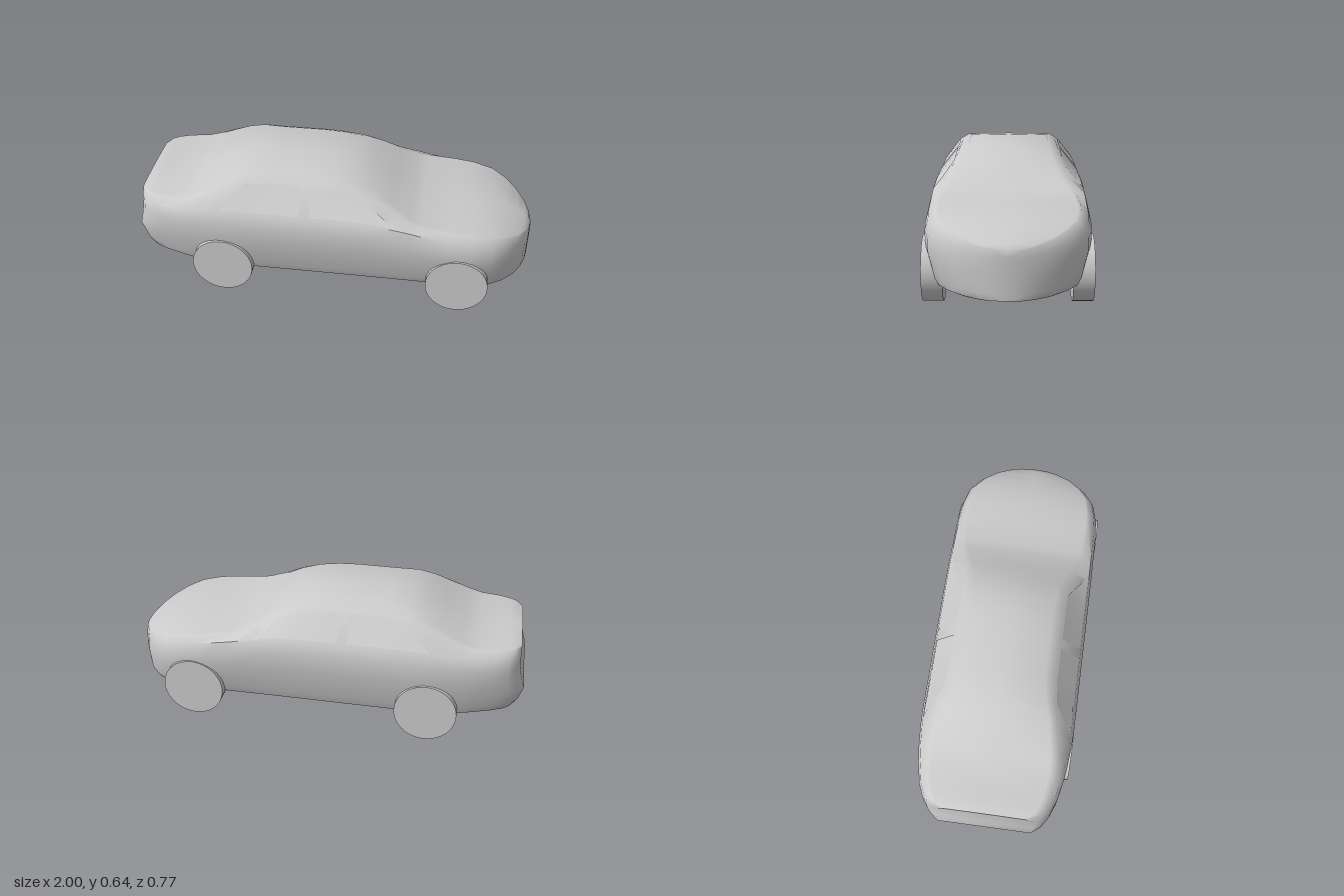
import * as THREE from 'three';
import { toCreasedNormals } from 'three/addons/utils/BufferGeometryUtils.js';

// Body stations: x, half width, roof/hood half width, belt height, top height, bottom height
const STATIONS = [
  [-0.965, 0.24, 0.19, 0.44, 0.485, 0.147],
  [-0.94, 0.285, 0.23, 0.45, 0.49, 0.145],
  [-0.91, 0.31, 0.25, 0.453, 0.492, 0.142],
  [-0.85, 0.335, 0.27, 0.455, 0.493, 0.138],
  [-0.75, 0.357, 0.28, 0.46, 0.495, 0.125],
  [-0.68, 0.367, 0.28, 0.465, 0.517, 0.114],
  [-0.58, 0.376, 0.265, 0.47, 0.565, 0.107],
  [-0.5, 0.38, 0.25, 0.47, 0.602, 0.105],
  [-0.42, 0.38, 0.225, 0.47, 0.631, 0.105],
  [-0.3, 0.38, 0.205, 0.47, 0.64, 0.105],
  [-0.1, 0.38, 0.205, 0.47, 0.641, 0.105],
  [0, 0.38, 0.205, 0.47, 0.636, 0.105],
  [0.1, 0.38, 0.207, 0.47, 0.621, 0.105],
  [0.2, 0.38, 0.217, 0.468, 0.586, 0.105],
  [0.3, 0.38, 0.245, 0.46, 0.528, 0.105],
  [0.4, 0.38, 0.285, 0.443, 0.475, 0.105],
  [0.45, 0.38, 0.3, 0.432, 0.459, 0.105],
  [0.6, 0.379, 0.315, 0.405, 0.443, 0.105],
  [0.7, 0.372, 0.312, 0.39, 0.433, 0.105],
  [0.8, 0.35, 0.295, 0.37, 0.414, 0.105],
  [0.87, 0.3, 0.25, 0.35, 0.392, 0.105],
  [0.93, 0.23, 0.19, 0.325, 0.366, 0.105],
  [0.97, 0.15, 0.12, 0.305, 0.346, 0.105],
  [0.99, 0.085, 0.065, 0.29, 0.332, 0.105],
  [1.0, 0.03, 0.02, 0.27, 0.31, 0.108],
];

// Tail profile: height, offset along x
const TAIL = [[0.14, 0.015], [0.17, 0], [0.25, -0.035], [0.3, -0.022], [0.36, 0], [0.7, 0]];

function sample(table, x) {
  let i = 0;
  while (i < table.length - 2 && x > table[i + 1][0]) i++;
  const [a, b] = [table[i], table[i + 1]];
  const t = THREE.MathUtils.clamp((x - a[0]) / (b[0] - a[0]), 0, 1);
  return a.map((v, k) => v + (b[k] - v) * t);
}

// Half cross-section from the floor centre round to the roof centre
function halfSection([x, w, e, belt, top, low]) {
  const level = (f) => low + (belt - low) * f;
  const pts = [
    [low, 0], [low, 0.78 * w], [level(0.04), 0.87 * w], [level(0.17), 0.92 * w],
    [level(0.4), 0.96 * w], [level(0.6), w], [level(0.83), w], [belt, 0.96 * w],
    [top - 0.18 * (top - belt), e + 0.3 * (0.96 * w - e)], [top - 0.004, e], [top, 0],
  ];
  const tail = Math.max(0, (-0.85 - x) / 0.115);
  return pts.map(([y, z]) => new THREE.Vector3(x + tail * sample(TAIL, y)[1], y, z));
}

function bodyGeometry() {
  const positions = [];
  const index = [];
  const half = 11;
  const ring = 2 * half - 2;
  for (const s of STATIONS) {
    const h = halfSection(s);
    for (const p of h) positions.push(p.x, p.y, p.z);
    for (let k = half - 2; k > 0; k--) positions.push(h[k].x, h[k].y, -h[k].z);
  }
  const quad = (a, b, c, d) => index.push(a, b, c, a, c, d);
  const last = STATIONS.length - 1;
  for (let i = 0; i < last; i++) {
    for (let j = 0; j < ring; j++) {
      const n = (j + 1) % ring;
      quad(i * ring + j, (i + 1) * ring + j, (i + 1) * ring + n, i * ring + n);
    }
  }
  // Tail and nose closed by strips across the width
  for (let k = 0; k < half - 1; k++) {
    const m = (ring - k) % ring;
    const m1 = ring - k - 1;
    quad(m, k, k + 1, m1);
    const o = last * ring;
    quad(o + k, o + m, o + m1, o + k + 1);
  }
  const geo = new THREE.BufferGeometry();
  geo.setAttribute('position', new THREE.Float32BufferAttribute(positions, 3));
  geo.setIndex(index);
  return toCreasedNormals(geo, 0.75);
}

// Thin pane following the cabin side between belt and roof edge
function windowGeometry(side, lower, upper) {
  const n = 10;
  const geo = new THREE.PlaneGeometry(1, 1, n, 4);
  const pos = geo.attributes.position;
  for (let i = 0; i < pos.count; i++) {
    const u = pos.getX(i) + 0.5;
    const v = pos.getY(i) + 0.5;
    const x = THREE.MathUtils.lerp(
      THREE.MathUtils.lerp(lower[0], lower[1], u), THREE.MathUtils.lerp(upper[0], upper[1], u), v);
    const h = halfSection(sample(STATIONS, x));
    const p = h[7].clone().lerp(h[8], 0.08 + 0.84 * v);
    pos.setXYZ(i, p.x, p.y + 0.002, side * (p.z + 0.003));
  }
  geo.computeVertexNormals();
  return geo;
}

export function createModel() {
  const car = new THREE.Group();
  car.name = 'car';
  const paint = new THREE.MeshStandardMaterial({ color: 0xcccccc });
  const pane = new THREE.MeshStandardMaterial({ color: 0xcccccc, side: THREE.DoubleSide });
  const add = (name, geo, mat = paint) => {
    const mesh = new THREE.Mesh(geo, mat);
    mesh.name = name;
    car.add(mesh);
    return mesh;
  };

  add('body', bodyGeometry());

  const wheel = new THREE.CylinderGeometry(0.153, 0.153, 0.095, 40).rotateX(Math.PI / 2);
  for (const side of [1, -1]) {
    const hand = side < 0 ? 'Left' : 'Right';
    add('frontWindow' + hand, windowGeometry(side, [-0.09, 0.34], [-0.09, 0.16]), pane);
    add('rearWindow' + hand, windowGeometry(side, [-0.54, -0.14], [-0.42, -0.14]), pane);
    add('frontWheel' + hand, wheel).position.set(0.645, 0.153, side * 0.3375);
    add('rearWheel' + hand, wheel).position.set(-0.535, 0.153, side * 0.3375);
  }
  return car;
}
